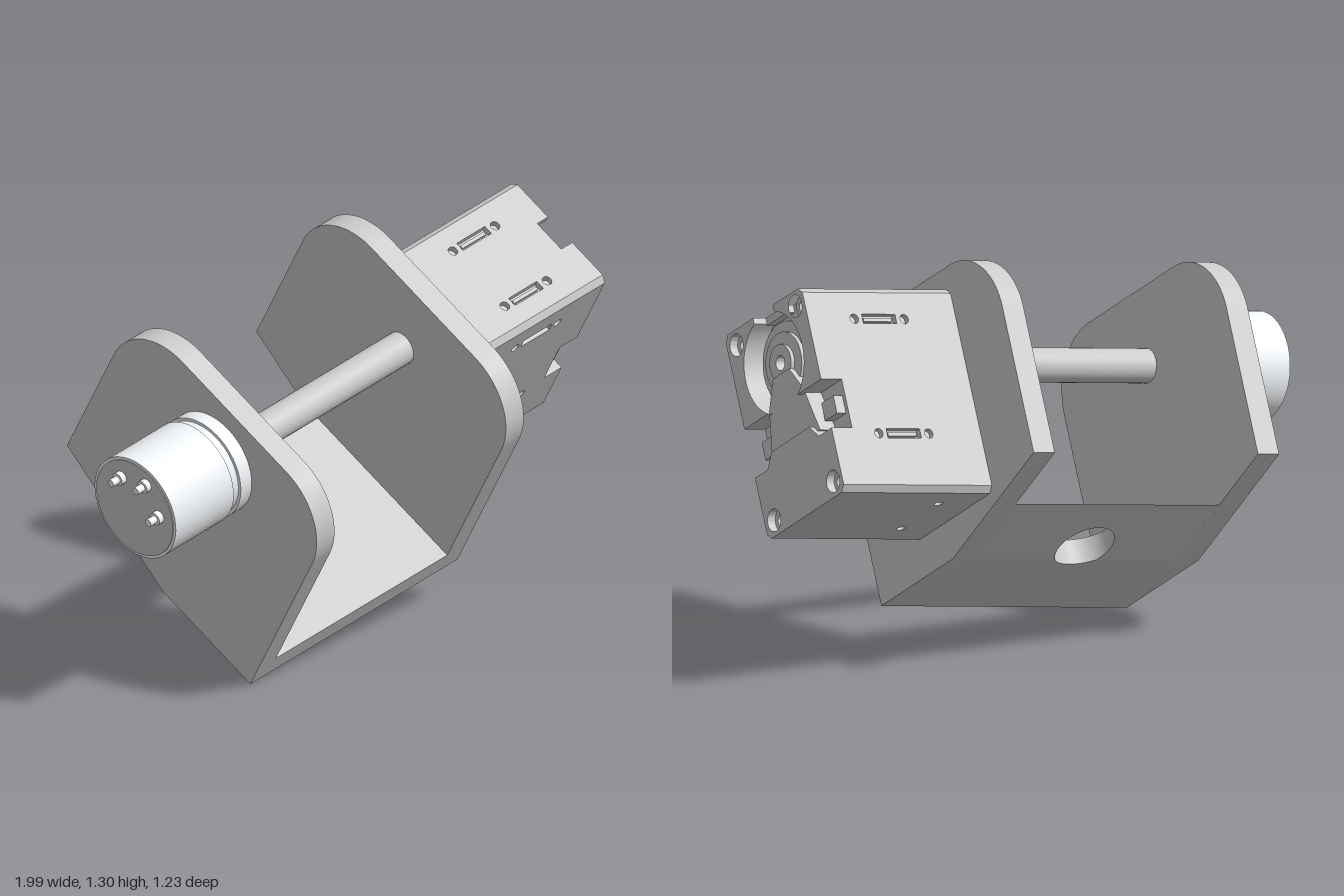
import * as THREE from 'three';
import { toCreasedNormals } from 'three/addons/utils/BufferGeometryUtils.js';

const grey = new THREE.MeshStandardMaterial({ color: 0xcccccc });
const light = new THREE.MeshStandardMaterial({ color: 0xf2f5f8 });

// Bracket frame: x along the shaft, y up the plates, z to the front
const T = 0.082, W = 0.954, AXIS_Y = 0.64, AXIS_Z = -0.477;

function add(parent, name, geo, mat = grey) {
  const mesh = new THREE.Mesh(geo, mat);
  mesh.name = name;
  parent.add(mesh);
  return mesh;
}

const poly = pts => new THREE.Shape(pts.map(p => new THREE.Vector2(p[0], p[1])));

const extrude = (shape, depth) => toCreasedNormals(
  new THREE.ExtrudeGeometry(shape, { depth, bevelEnabled: false, curveSegments: 24 }), 0.5);

// Profile in (backwards, up), extruded along x
const sideExtrude = (shape, x, depth) => extrude(shape, depth).rotateY(Math.PI / 2).translate(x, 0, 0);

// Plan in (x, backwards), extruded upwards
const planExtrude = (shape, y, depth) => extrude(shape, depth).rotateX(-Math.PI / 2).translate(0, y, 0);

// Cylinder on the x axis
const rod = (r, x0, x1, sides = 40) =>
  new THREE.CylinderGeometry(r, r, x1 - x0, sides).rotateZ(-Math.PI / 2).translate((x0 + x1) / 2, 0, 0);

function circleHole(shape, x, y, r) {
  shape.holes.push(new THREE.Path().absarc(x, y, r, 0, Math.PI * 2, true));
}

function buildBracket(root) {
  const bracket = new THREE.Group();
  bracket.name = 'bracket';
  root.add(bracket);

  // Side plates: rounded top corners, sloped lower back edge
  const R = 0.228, H = 0.882;
  const plate = new THREE.Shape();
  plate.moveTo(0, 0).lineTo(0.42, 0).lineTo(W, 0.158).lineTo(W, H - R);
  plate.absarc(W - R, H - R, R, 0, Math.PI / 2, false);
  plate.absarc(R, H - R, R, Math.PI / 2, Math.PI, false);
  plate.closePath();
  add(bracket, 'rightPlate', sideExtrude(plate, 0, T));
  add(bracket, 'leftPlate', sideExtrude(plate, W - T, T));

  // Base in two pieces that meet across the round hole
  const c = W / 2, split = 0.42, end = 0.697, hole = [c, 0.48, 0.1];
  const a0 = Math.atan2(-0.06, 0.08), a1 = Math.atan2(-0.06, -0.08);
  const front = new THREE.Shape();
  front.moveTo(T, 0).lineTo(W - T, 0).lineTo(W - T, split).lineTo(c + 0.08, split);
  front.absarc(...hole, a0, a1, true);
  front.lineTo(T, split);
  add(bracket, 'baseFront', planExtrude(front, 0, T));

  const rear = new THREE.Shape();
  rear.moveTo(T, split).lineTo(c - 0.08, split);
  rear.absarc(...hole, a1, a0, true);
  rear.lineTo(W - T, split).lineTo(W - T, end).lineTo(T, end);
  const geo = planExtrude(rear, 0, T), pos = geo.attributes.position;
  // Slope the underside up to the back edge
  for (let i = 0; i < pos.count; i++) {
    if (pos.getY(i) < 0.01) pos.setY(i, T * (-pos.getZ(i) - split) / (end - split));
  }
  geo.computeVertexNormals();
  add(bracket, 'baseRear', geo);
}

function buildMotor(root) {
  const motor = new THREE.Group();
  motor.name = 'motor';
  motor.position.set(0, AXIS_Y, AXIS_Z);
  root.add(motor);
  add(motor, 'can', rod(0.178, -0.352, -0.085, 48), light);
  add(motor, 'neck', rod(0.165, -0.085, -0.05, 48), light);
  add(motor, 'mountRing', rod(0.176, -0.05, 0, 48), light);
  add(motor, 'endCap', rod(0.168, -0.355, -0.34, 48));
  // Terminals on the end cap
  for (const [y, z] of [[0.06, -0.09], [0.06, 0.09], [0.125, 0]]) {
    add(motor, 'terminalBase', rod(0.022, -0.375, -0.35, 16), light).position.set(0, y, z);
    add(motor, 'terminalPin', rod(0.013, -0.405, -0.37, 16), light).position.set(0, y, z);
  }
}

function buildDriveUnit(root) {
  const unit = new THREE.Group();
  unit.name = 'driveUnit';
  unit.position.z = AXIS_Z;
  root.add(unit);
  const x0 = W, x1 = 1.45, x2 = 1.53, hw = 0.225, y0 = 0.122, y1 = 0.815, b = 0.02;
  const len = x1 - x0, midX = (x0 + x1) / 2, midY = (y0 + y1) / 2;

  add(unit, 'core', new THREE.BoxGeometry(len, y1 - y0 - 2 * b, 2 * (hw - b)).translate(midX, midY, 0));
  // Diamond rods give the chamfered long edges
  for (const y of [y0 + b, y1 - b]) for (const z of [b - hw, hw - b]) {
    add(unit, 'edge', rod(b, x0, x1, 4).toNonIndexed()).position.set(0, y, z);
  }
  unit.children.forEach(m => m.geometry.computeVertexNormals());

  // Skins with slots, each between two screw holes
  const skin = (v0, v1, slots) => {
    const s = poly([[x0, v0], [x1, v0], [x1, v1], [x0, v1]]);
    for (const v of slots) {
      for (const side of [-1, 1]) circleHole(s, 1.253 + side * 0.097, v, 0.016);
      s.holes.push(poly([[1.188, v - 0.016], [1.188, v + 0.016], [1.318, v + 0.016], [1.318, v - 0.016]]));
      add(unit, 'slotBar', new THREE.BoxGeometry(0.11, 0.012, 0.012)).userData.v = v;
    }
    return s;
  };
  const placeBars = (from, fn) => unit.children.slice(from).forEach(m => {
    if (m.name === 'slotBar') fn(m, m.userData.v);
  });
  for (const z of [hw - b, -hw]) {
    const from = unit.children.length;
    add(unit, 'sideSkin', extrude(skin(y0 + b, y1 - b, [0.317, 0.706]), b)).position.z = z;
    placeBars(from, (m, v) => m.position.set(1.253, v, Math.sign(z) * (hw - b + 0.005)));
  }
  const from = unit.children.length;
  add(unit, 'topSkin', planExtrude(skin(b - hw, hw - b, [-0.125, 0.125]), y1 - b, b));
  placeBars(from, (m, v) => { m.rotation.x = Math.PI / 2; m.position.set(1.253, y1 - b + 0.005, -v); });
  const bottom = skin(b - hw, hw - b, []);
  for (const z of [-0.11, 0.11]) circleHole(bottom, 1.09, z, 0.015);
  add(unit, 'bottomSkin', planExtrude(bottom, y0, b));

  // End face: two upper halves around the round pocket
  const r = 0.165, lip = 0.5, slot = 0.058, cap = x2 - x1;
  for (const side of [-1, 1]) {
    const pts = [[side * hw, lip]];
    const start = Math.asin((lip - AXIS_Y) / r), stop = Math.acos(slot / r);
    for (let i = 0; i <= 16; i++) {
      const a = start + (stop - start) * i / 16;
      pts.push([side * r * Math.cos(a), AXIS_Y + r * Math.sin(a)]);
    }
    pts.push([side * slot, y1], [side * (hw - b), y1], [side * hw, y1 - b]);
    const half = poly(pts);
    circleHole(half, side * 0.173, 0.767, 0.036);
    add(unit, 'upperEnd', sideExtrude(half, x1, cap));
  }
  add(unit, 'slotFloor', new THREE.BoxGeometry(0.03, 0.025, 2 * slot).translate(x1 + 0.015, y1 - 0.0125, 0));

  // Lower end block with a tongue reaching up to the hub
  const lower = poly([[b - hw, y0], [hw - b, y0], [hw, y0 + b], [hw, 0.335], [0.15, 0.335], [0.11, 0.38],
    [-0.11, 0.38], [-0.15, 0.335], [-hw, 0.335], [-hw, y0 + b]]);
  for (const z of [-0.173, 0.173]) circleHole(lower, z, 0.172, 0.036);
  add(unit, 'lowerEnd', sideExtrude(lower, x1, cap));
  const tongue = poly([[-0.14, 0.36], [0.14, 0.36], [0.1, 0.517], [0.047, 0.603], [-0.047, 0.603], [-0.1, 0.517]]);
  add(unit, 'tongue', sideExtrude(tongue, x1, cap - 0.018));
  for (const z of [-0.175, 0.175]) {
    add(unit, 'clip', new THREE.BoxGeometry(0.035, 0.06, 0.07).translate(x1 + 0.0175, 0.42, z));
  }

  // Counterbore seats in the screw holes
  for (const y of [0.172, 0.767]) for (const z of [-0.173, 0.173]) {
    const seat = new THREE.Shape().absarc(z, y, 0.037, 0, Math.PI * 2, false);
    circleHole(seat, z, y, 0.02);
    add(unit, 'screwSeat', sideExtrude(seat, x1, 0.05));
  }

  // Stepped hub rings in the pocket
  const profile = [[0.024, 0], [0.024, 0.055], [0.06, 0.055], [0.06, 0.042], [0.1, 0.042], [0.1, 0.028],
    [0.135, 0.028], [0.135, 0]].reverse().map(p => new THREE.Vector2(p[0], p[1]));
  const hub = toCreasedNormals(new THREE.LatheGeometry(profile, 48), 0.5).rotateZ(-Math.PI / 2);
  const hubMat = grey.clone();
  hubMat.side = THREE.DoubleSide;
  add(unit, 'hub', hub, hubMat).position.set(x1, AXIS_Y, 0);
}

export function createModel() {
  const root = new THREE.Group();
  root.name = 'motorBracketAssembly';
  const body = new THREE.Group();
  body.name = 'tiltedAssembly';
  root.add(body);

  buildBracket(body);
  add(body, 'shaft', rod(0.056, 0.02, 1, 32)).position.set(0, AXIS_Y, AXIS_Z);
  buildMotor(body);
  buildDriveUnit(body);

  // The whole assembly stands tilted on one corner
  const a = new THREE.Vector3(0.98, 0.147, -0.136).normalize();
  const f = a.clone().cross(new THREE.Vector3(-0.0488, 0.834, 0.55)).normalize();
  const u = f.clone().cross(a);
  body.quaternion.setFromRotationMatrix(new THREE.Matrix4().makeBasis(a, u, f));
  body.position.set(-0.45, 0, 0.22);
  return root;
}
